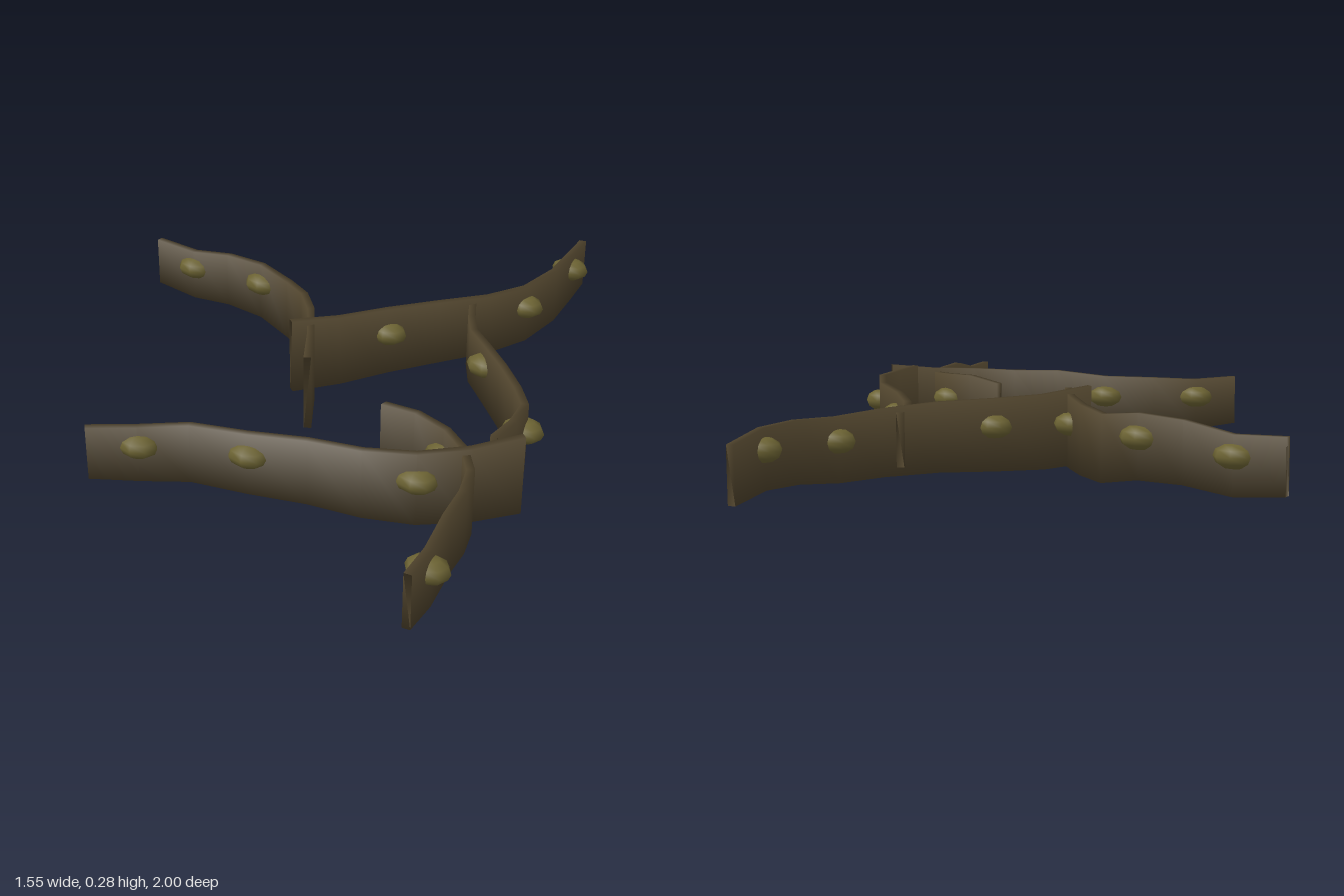
import * as THREE from 'three';

// Each frond from tip to base: path as [x, z], height of the centre line at
// nine even stations, and the stations that carry an air bulb
const FRONDS = [
  {
    path: [[-0.775, -0.4], [-0.48, -0.345], [-0.22, -0.26], [-0.06, -0.08], [0.055, 0.19]],
    heights: [0.145, 0.135, 0.157, 0.16, 0.14, 0.147, 0.15, 0.14, 0.13],
    bulbs: [1, 3, 6],
  },
  {
    path: [[0.52, -1], [0.515, -0.69], [0.39, -0.42], [0.15, -0.185], [-0.065, 0.05]],
    heights: [0.14, 0.157, 0.152, 0.14, 0.145, 0.15, 0.147, 0.145, 0.158],
    bulbs: [1, 3, 6],
  },
  {
    path: [[0.345, -0.4], [0.42, -0.2], [0.58, 0], [0.71, 0.2], [0.695, 0.41]],
    heights: [0.152, 0.142, 0.147, 0.155, 0.152, 0.145, 0.152, 0.15, 0.153],
    bulbs: [3, 6],
  },
  {
    path: [[0.695, 1], [0.7, 0.76], [0.68, 0.54], [0.56, 0.395], [0.345, 0.315]],
    heights: [0.145, 0.135, 0.155, 0.147, 0.14, 0.142, 0.142, 0.14, 0.117],
    bulbs: [1, 6],
  },
  {
    path: [[-0.325, 0.77], [-0.08, 0.64], [0.25, 0.6], [0.535, 0.545], [0.768, 0.38]],
    heights: [0.157, 0.145, 0.147, 0.143, 0.153, 0.145, 0.145, 0.145, 0.156],
    bulbs: [1, 3, 6],
  },
];

const SEGMENTS = 8;
const HALF_THICKNESS = 0.011;
const TIP_HALF_WIDTH = 0.079;
const BASE_HALF_WIDTH = 0.117;

// Centre line of a frond at its stations
function centreLine({ path, heights }) {
  const curve = new THREE.CatmullRomCurve3(
    path.map(([x, z]) => new THREE.Vector3(x, 0, z)), false, 'catmullrom', 0.5,
  );
  return curve.getPoints(SEGMENTS).map((point, i) => point.setY(heights[i]));
}

// Upright strip: a thin rectangular section that widens from tip to base,
// with normals rounded over its long edges
function stripGeometry(points) {
  const positions = [];
  const normals = [];
  const index = [];
  const corners = [[1, -1], [1, 1], [-1, 1], [-1, -1]];
  points.forEach((point, i) => {
    const along = points[Math.min(i + 1, SEGMENTS)].clone()
      .sub(points[Math.max(i - 1, 0)]).setY(0).normalize();
    const halfWidth = THREE.MathUtils.lerp(TIP_HALF_WIDTH, BASE_HALF_WIDTH, i / SEGMENTS);
    for (const [side, up] of corners) {
      const nx = -along.z * side;
      const nz = along.x * side;
      positions.push(
        point.x + nx * HALF_THICKNESS, point.y + up * halfWidth, point.z + nz * HALF_THICKNESS,
      );
      normals.push(nx * Math.SQRT1_2, up * Math.SQRT1_2, nz * Math.SQRT1_2);
    }
  });
  for (let i = 0; i < SEGMENTS; i++) {
    for (let j = 0; j < 4; j++) {
      const a = i * 4 + j;
      const b = i * 4 + ((j + 1) % 4);
      index.push(a, a + 4, b, b, a + 4, b + 4);
    }
  }
  // End caps
  const e = SEGMENTS * 4;
  index.push(0, 1, 2, 0, 2, 3, e, e + 2, e + 1, e, e + 3, e + 2);
  const geometry = new THREE.BufferGeometry();
  geometry.setAttribute('position', new THREE.Float32BufferAttribute(positions, 3));
  geometry.setAttribute('normal', new THREE.Float32BufferAttribute(normals, 3));
  geometry.setIndex(index);
  return geometry;
}

export function createModel() {
  const model = new THREE.Group();
  model.name = 'seaweedFronds';

  const brown = new THREE.MeshStandardMaterial({ color: 0x4f432c });
  brown.name = 'kelp brown';
  const olive = new THREE.MeshStandardMaterial({ color: 0x6b6232 });
  olive.name = 'bulb olive';

  const bulbGeometry = new THREE.SphereGeometry(1, 8, 6);
  bulbGeometry.scale(0.06, 0.036, 0.045);

  FRONDS.forEach((spec, i) => {
    const frond = new THREE.Group();
    frond.name = `frond${i + 1}`;
    const points = centreLine(spec);
    const strip = new THREE.Mesh(stripGeometry(points), brown);
    strip.name = 'strip';
    frond.add(strip);
    // Air bulbs sit just above the centre line
    for (const station of spec.bulbs) {
      const bulb = new THREE.Mesh(bulbGeometry, olive);
      bulb.name = 'airBulb';
      bulb.position.copy(points[station]);
      bulb.position.y += 0.025;
      frond.add(bulb);
    }
    model.add(frond);
  });
  return model;
}
